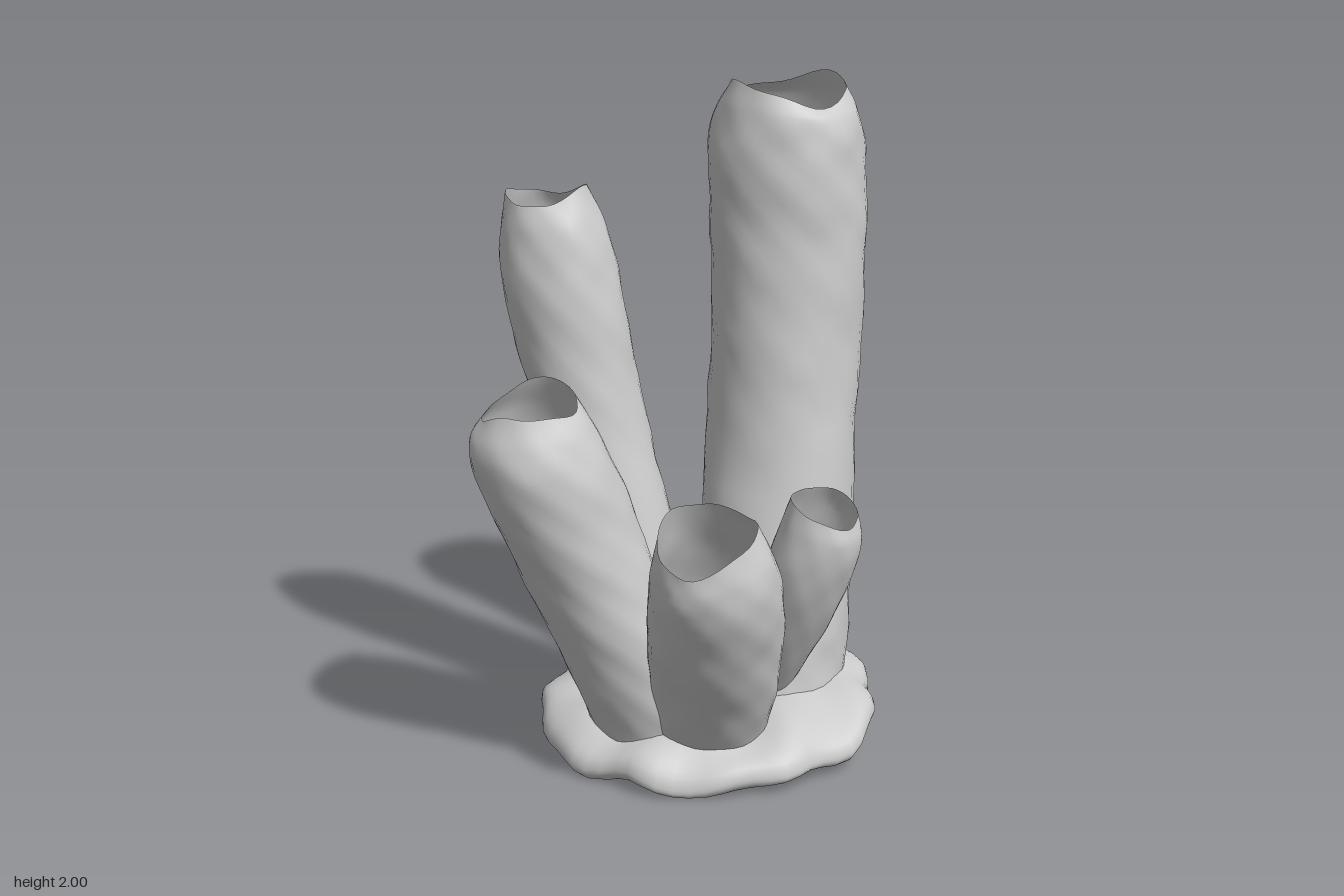
import * as THREE from 'three';

const material = new THREE.MeshStandardMaterial({ color: 0xcccccc, side: THREE.DoubleSide });

// Smooth skin over closed rings; point(t, angle) gives a vertex, t running 0..1 over the rings
function skin(name, rings, sides, point) {
  const pos = [], index = [];
  for (let i = 0; i < rings; i++) {
    for (let j = 0; j < sides; j++) {
      pos.push(...point(i / (rings - 1), (j / sides) * Math.PI * 2));
      if (i === rings - 1) continue;
      const a = i * sides + j, b = i * sides + (j + 1) % sides;
      index.push(a, a + sides, b, b, a + sides, b + sides);
    }
  }
  const geo = new THREE.BufferGeometry();
  geo.setAttribute('position', new THREE.Float32BufferAttribute(pos, 3));
  geo.setIndex(index);
  geo.computeVertexNormals();
  const mesh = new THREE.Mesh(geo, material);
  mesh.name = name;
  return mesh;
}

// Organic lumps, about -1..1
const lumps = (a, y, seed) =>
  0.3 * Math.sin(3 * a + 7 * y + seed) +
  0.3 * Math.sin(5 * a - 13 * y + seed * 2.3) +
  0.25 * Math.sin(2 * a + 25 * y + seed * 1.7) +
  0.35 * Math.sin(7 * a + 3) * Math.sin(38 * y + 2 * a + seed);

// Hollow tube, open at both ends; stations are [x, y, z, radius] from root to mouth
function tube({ name, stations, tilt, wave, phase, seed }) {
  const path = new THREE.CatmullRomCurve3(stations.map(s => new THREE.Vector3(s[0], s[1], s[2])));
  const width = new THREE.CatmullRomCurve3(stations.map(s => new THREE.Vector3(s[3], s[1], 0)));
  return skin(name, 44, 36, (t, a) => {
    const c = path.getPoint(t);
    const r = width.getPoint(t).x * (1 + 0.035 * lumps(a, c.y, seed));
    const dx = r * Math.cos(a), dz = -r * Math.sin(a);
    // the mouth is tilted and wavy, fading out down the tube
    const slope = (tilt[0] * dx + tilt[1] * dz) * t * t;
    const ripple = (wave * Math.cos(2 * a + phase) + 0.2 * wave * Math.sin(5 * a + seed)) * t ** 7;
    return [c.x + dx, c.y + slope + ripple, c.z + dz];
  });
}

const TUBES = [
  {
    name: 'tallTube', tilt: [0, -0.05], wave: 0.028, phase: 0.3, seed: 1,
    stations: [[0.25, 0.12, 0.11, 0.235], [0.285, 0.35, 0.09, 0.24], [0.395, 1, 0.022, 0.23],
      [0.437, 1.5, -0.005, 0.235], [0.442, 1.8, -0.02, 0.235], [0.44, 1.91, -0.015, 0.208], [0.435, 1.965, -0.01, 0.174]],
  },
  {
    name: 'backTube', tilt: [0.05, 0.1], wave: 0.02, phase: 2, seed: 2.4,
    stations: [[0.02, 0.1, -0.13, 0.15], [0, 0.35, -0.185, 0.165], [-0.075, 1, -0.35, 0.17],
      [-0.12, 1.42, -0.42, 0.176], [-0.13, 1.57, -0.44, 0.155], [-0.14, 1.66, -0.45, 0.122]],
  },
  {
    name: 'leftTube', tilt: [0.2, 0], wave: 0.02, phase: -1, seed: 3.9,
    stations: [[-0.16, 0.08, 0.03, 0.17], [-0.235, 0.3, 0.015, 0.185], [-0.36, 0.65, -0.045, 0.197],
      [-0.475, 0.98, -0.1, 0.2], [-0.5, 1.08, -0.11, 0.175], [-0.505, 1.155, -0.11, 0.135]],
  },
  {
    name: 'frontTube', tilt: [0.38, -0.18], wave: 0.02, phase: 2.6, seed: 5.2,
    stations: [[-0.07, 0.08, 0.18, 0.165], [-0.12, 0.25, 0.25, 0.185], [-0.2, 0.47, 0.335, 0.197],
      [-0.27, 0.68, 0.405, 0.19], [-0.3, 0.77, 0.425, 0.17], [-0.325, 0.855, 0.43, 0.14]],
  },
  {
    name: 'smallTube', tilt: [0, -0.35], wave: 0.008, phase: 0, seed: 6.6,
    stations: [[0.13, 0.12, 0.2, 0.035], [0.13, 0.24, 0.25, 0.07], [0.122, 0.45, 0.335, 0.112],
      [0.122, 0.66, 0.41, 0.127], [0.13, 0.77, 0.44, 0.117], [0.13, 0.835, 0.45, 0.098]],
  },
];

// Lumpy tilted crust: top sheet, rolled rim and a short lip folded underneath
function crust() {
  const profile = new THREE.CatmullRomCurve3([
    [0, 0.14], [0.4, 0.14], [0.7, 0.125], [0.88, 0.1], [0.98, 0.065], [1, 0.03],
    [0.96, 0.005], [0.86, 0.015], [0.76, 0.045],
  ].map(p => new THREE.Vector3(p[0], p[1], 0)));
  return skin('crustBase', 30, 64, (t, a) => {
    const p = profile.getPoint(t);
    // outline pinched at the back right and, less, at the front left
    const diagonal = Math.max(0, Math.sin(2 * a)) ** 2;
    const pinch = (Math.cos(a) > 0 ? 0.13 : 0.07) * diagonal;
    const R = 0.515 * (1 - pinch + 0.02 * Math.sin(5 * a + 1) + 0.015 * Math.sin(9 * a) + 0.015 * Math.sin(14 * a + 2));
    const x = 0.075 + R * p.x * Math.cos(a), z = 0.025 - R * p.x * Math.sin(a);
    const bump = 0.013 * p.x * (Math.sin(7 * a + 9 * p.x) + 0.6 * Math.sin(11 * a + 1));
    const y = 0.056 + 0.115 * x - 0.06 * z + p.y + bump;
    return [x, Math.max(0, y), z];
  });
}

export function createModel() {
  const group = new THREE.Group();
  group.name = 'tubeSponge';
  group.add(crust(), ...TUBES.map(tube));
  return group;
}
